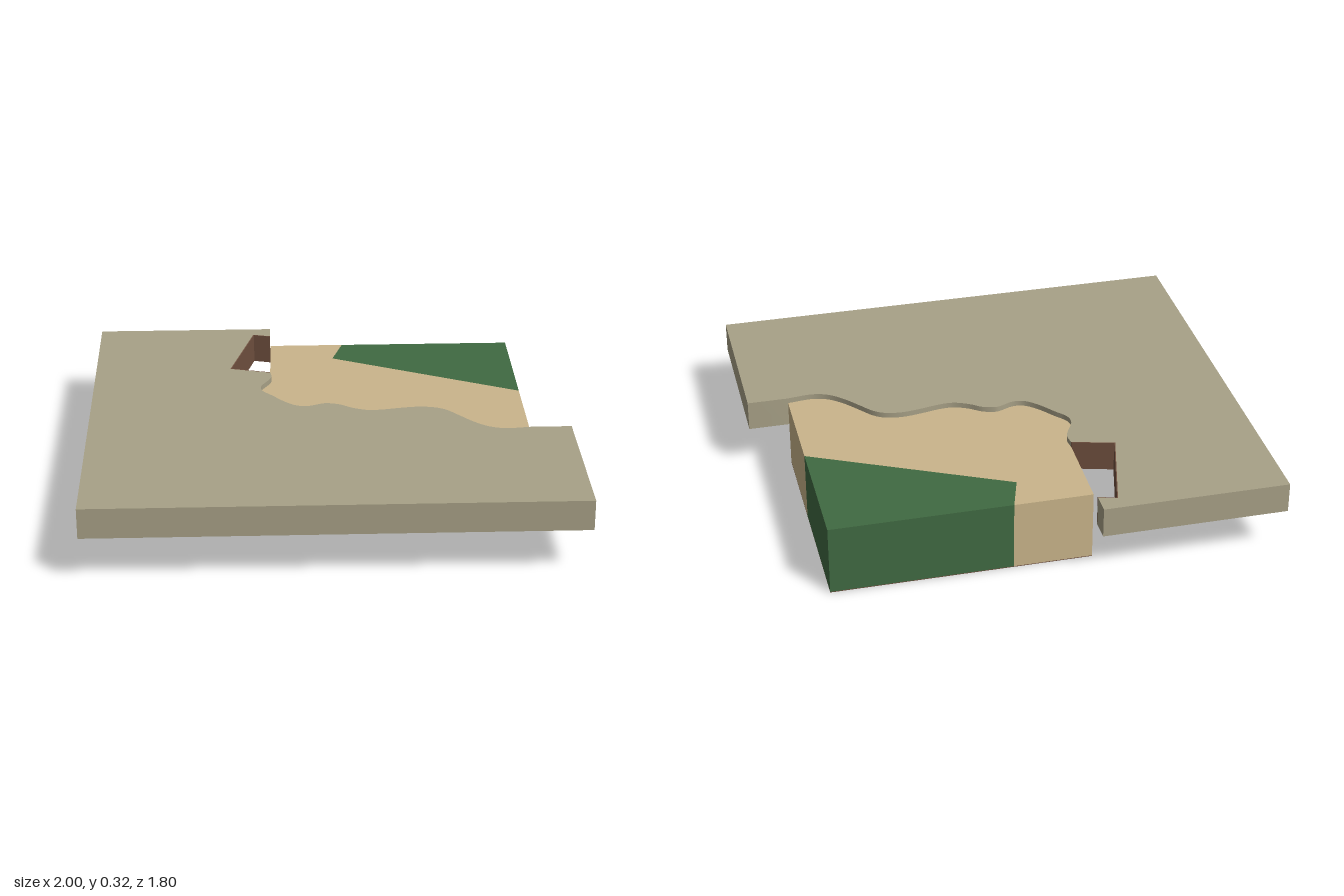
import * as THREE from 'three';
import { toCreasedNormals } from 'three/addons/utils/BufferGeometryUtils.js';

const SLAB_BOTTOM = 0.193, SLAB_TOP = 0.32, GROUND_TOP = 0.297, BASE = 0.003;

const colours = { stone: 0xa8a187, sand: 0xcab58b, grass: 0x406a42, earth: 0x70503f };

// Wavy shoreline shared by the slab and the sand, as [x, z]
const shore = new THREE.SplineCurve([
  [-0.24, -0.4], [-0.235, -0.35], [-0.25, -0.31], [-0.28, -0.25], [-0.275, -0.2],
  [-0.235, -0.15], [-0.18, -0.08], [-0.13, -0.04], [-0.08, -0.035], [-0.03, -0.055],
  [0, -0.06], [0.05, -0.045], [0.1, -0.01], [0.16, 0.015], [0.22, 0.015],
  [0.3, 0], [0.38, -0.01], [0.45, 0], [0.5, 0.03], [0.55, 0.09],
  [0.6, 0.15], [0.66, 0.2], [0.73, 0.22], [0.83, 0.21],
].map(([x, z]) => new THREE.Vector2(x, z))).getPoints(92).map((p) => [p.x, p.y]);

// Upright prism over a plan outline of [x, z] points
function prism(name, outline, y0, y1, color) {
  const shape = new THREE.Shape(outline.map(([x, z]) => new THREE.Vector2(x, -z)));
  const geometry = new THREE.ExtrudeGeometry(shape, { depth: y1 - y0, bevelEnabled: false });
  geometry.rotateX(-Math.PI / 2).translate(0, y0, 0);
  const mesh = new THREE.Mesh(
    toCreasedNormals(geometry, Math.PI / 6),
    new THREE.MeshStandardMaterial({ color }),
  );
  mesh.name = name;
  return mesh;
}

export function createModel() {
  const model = new THREE.Group();
  model.name = 'coastTile';

  // Slanted notch: visible face, and the seat cut slightly deeper in the slab
  const notch = [[-0.235, -0.81], [-0.308, -0.83], [-0.408, -0.447], [-0.24, -0.4]];
  const seat = [[-0.235, -0.814], [-0.311, -0.834], [-0.413, -0.444], [-0.24, -0.396]];

  // Raised slab wrapping around the shore
  model.add(prism('slab', [
    [-1, -0.9], [-0.235, -0.9], ...seat, ...shore.slice(1), [1, 0.21], [1, 0.9], [-1, 0.9],
  ], SLAB_BOTTOM, SLAB_TOP, colours.stone));

  // Earth lining on the notch walls
  model.add(prism('notchLining', [...notch, ...[...seat].reverse()],
    SLAB_BOTTOM, SLAB_TOP, colours.earth));

  // Ground block: sand and grass side by side on an earth underside
  const grassEdge = [[0.83, -0.213], [0.04, -0.6], [0.088, -0.755]];
  model.add(prism('sand', [[-0.235, -0.755], ...shore, ...grassEdge],
    BASE, GROUND_TOP, colours.sand));
  model.add(prism('grass', [...grassEdge, [0.83, -0.755]],
    BASE, GROUND_TOP, colours.grass));
  model.add(prism('groundUnderside', [[-0.235, -0.755], ...shore, [0.83, -0.755]],
    0, BASE, colours.earth));

  return model;
}
